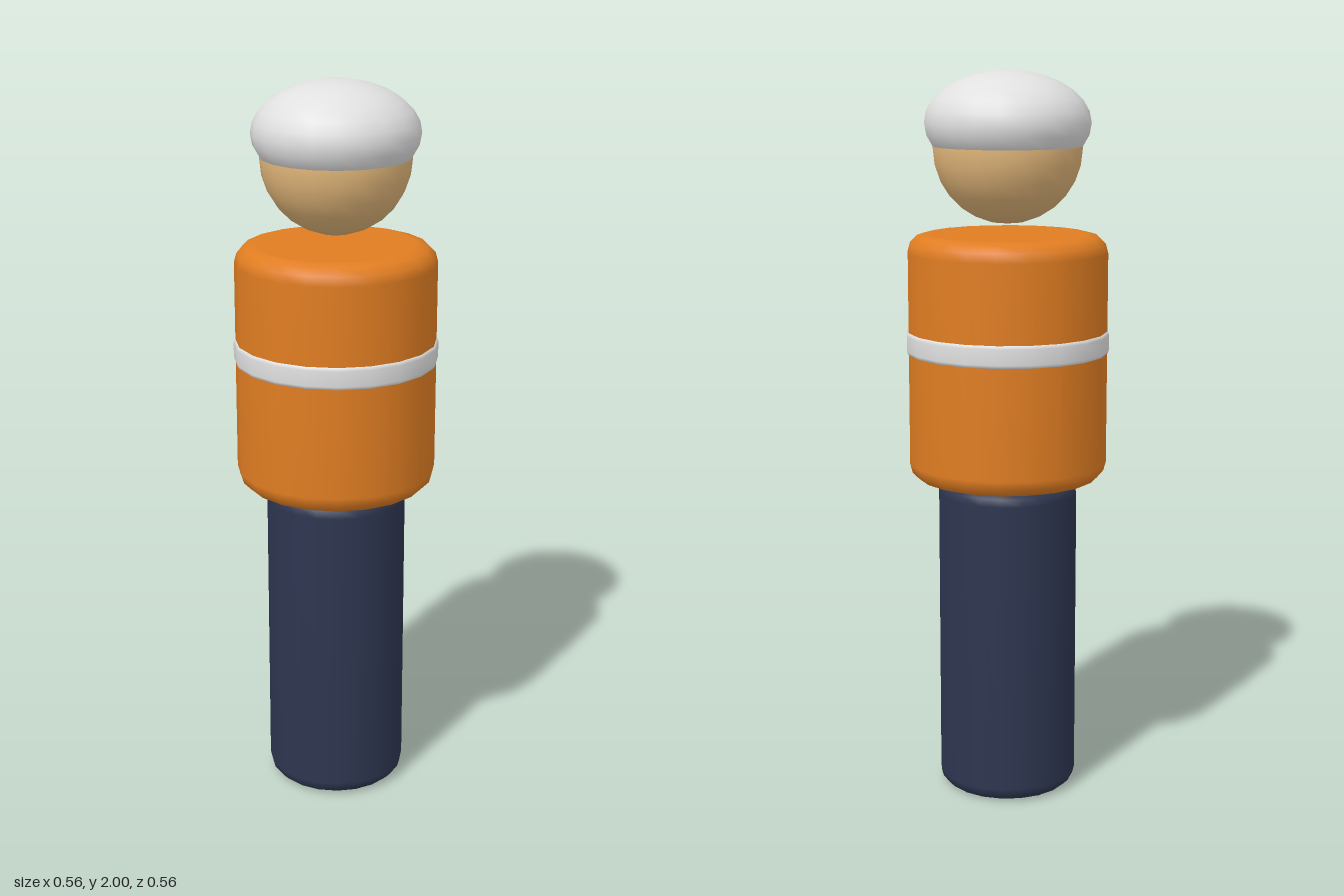
import * as THREE from 'three';

const SIDES = 20;

const material = (name, color) => {
  const m = new THREE.MeshStandardMaterial({ color });
  m.name = name;
  return m;
};

// Solid of revolution with rounded top and bottom rims
function roundedCylinder(radius, y0, y1, bevel, steps = 3) {
  const points = [new THREE.Vector2(0, y0), new THREE.Vector2((radius - bevel) * 0.96, y0)];
  for (const [cy, start] of [[y0 + bevel, -Math.PI / 2], [y1 - bevel, 0]]) {
    for (let i = 0; i <= steps; i++) {
      const a = start + (i / steps) * Math.PI / 2;
      points.push(new THREE.Vector2(radius - bevel + bevel * Math.cos(a), cy + bevel * Math.sin(a)));
    }
  }
  points.push(new THREE.Vector2((radius - bevel) * 0.96, y1), new THREE.Vector2(0, y1));
  return new THREE.LatheGeometry(points, SIDES);
}

export function createModel() {
  const group = new THREE.Group();
  group.name = 'figure';

  const navy = material('navy', 0x2e3650);
  const orange = material('orange', 0xe07d22);
  const white = material('white', 0xe0e0e0);
  const skin = material('skin', 0xdfb478);

  const add = (name, geometry, mat, y = 0) => {
    const mesh = new THREE.Mesh(geometry, mat);
    mesh.name = name;
    mesh.position.y = y;
    group.add(mesh);
    return mesh;
  };

  // Body
  add('legs', roundedCylinder(0.192, 0, 0.89, 0.04), navy);
  add('torso', roundedCylinder(0.273, 0.89, 1.566, 0.05), orange);
  add('chestBand', roundedCylinder(0.278, 1.24, 1.306, 0.012, 2), white);

  // Head, with the cap as a flattened ball sunk over it
  add('head', new THREE.SphereGeometry(0.202, SIDES, 14), skin, 1.795);
  const cap = add('cap', new THREE.SphereGeometry(0.225, SIDES, 14), white, 1.861);
  cap.scale.y = 0.139 / 0.225;

  return group;
}
